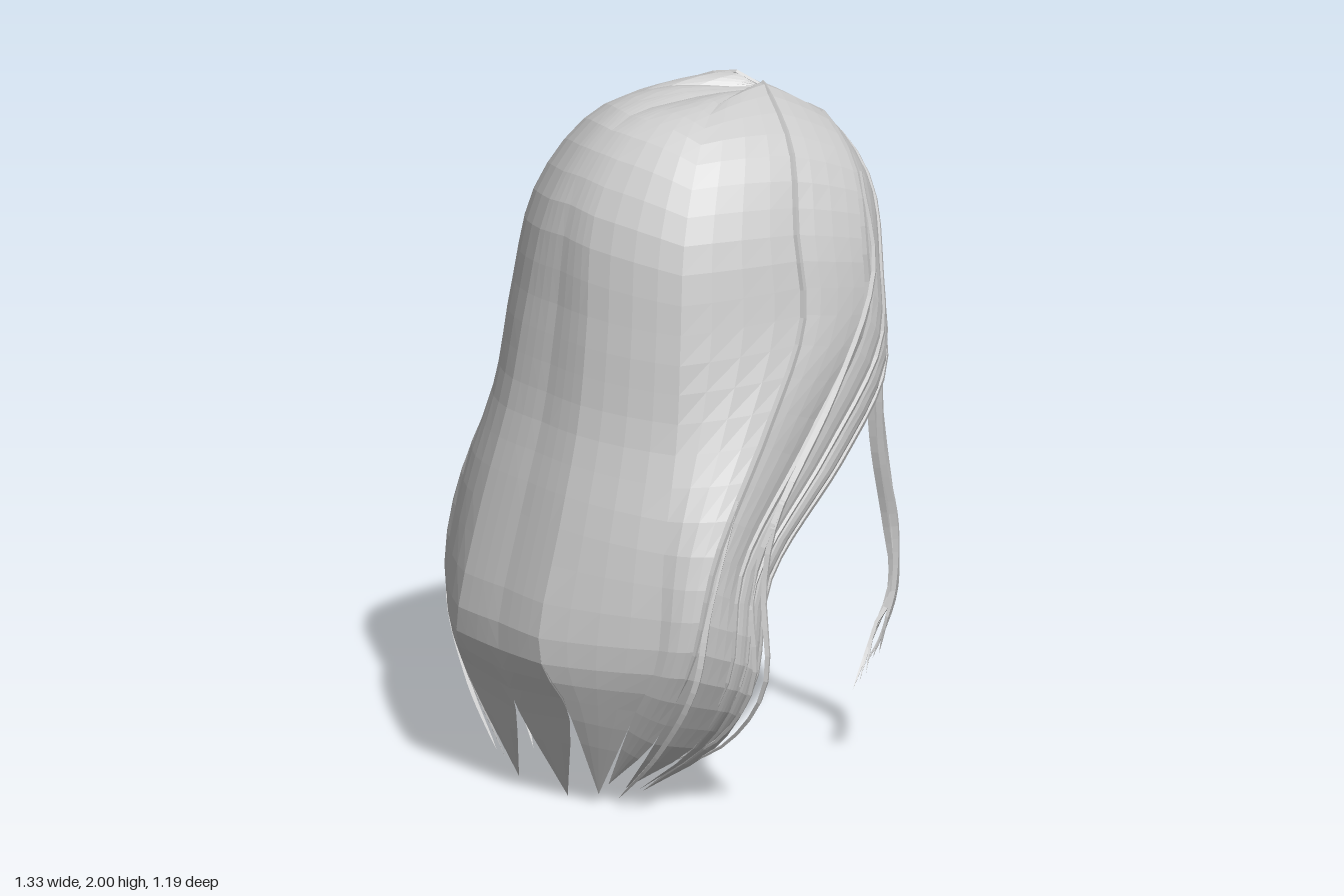
import * as THREE from 'three';

const material = new THREE.MeshStandardMaterial({ color: 0xcccccc, flatShading: true, side: THREE.DoubleSide });
const V = (p, s = 1) => new THREE.Vector3(p[0] * s, p[1], p[2]);
const curve = (pts, s) => new THREE.CatmullRomCurve3(pts.map(p => V(p, s)), false, 'catmullrom', 0.5);

// Seams between the locks, crown to hem, from the centre of the back round to the hairline
const centre = [[0, 1.955, -.33], [0, 1.965, -.08], [0, 1.93, .17], [0, 1.72, .335], [0, 1.4, .385],
  [0, 1.12, .43], [0, .83, .51], [0, .49, .59], [0, .27, .53]];
const back = [[0, 1.955, -.33], [.04, 1.975, -.07], [.08, 1.93, .16], [.11, 1.71, .33], [.15, 1.4, .385],
  [.17, 1.12, .43], [.19, .83, .51], [.2, .49, .59], [.25, .3, .52]];
const backSide = [[0, 1.955, -.33], [.13, 1.97, -.08], [.27, 1.88, .08], [.37, 1.66, .2], [.415, 1.38, .245],
  [.445, 1.1, .28], [.495, .8, .36], [.52, .5, .4], [.4, .28, .41]];
const side = [[0, 1.965, -.33], [.1, 1.99, -.28], [.32, 1.87, -.21], [.43, 1.65, -.15], [.487, 1.4, -.13],
  [.55, 1.12, .04], [.605, .8, .25], [.595, .5, .33], [.45, .24, .35]];
const temple = [[0, 1.89, -.45], [.16, 1.9, -.44], [.335, 1.79, -.42], [.435, 1.6, -.385], [.475, 1.36, -.35],
  [.515, 1.05, -.12], [.59, .75, .15], [.6, .45, .2], [.47, .21, .22]];
const brow = [[0, 1.8, -.5], [.14, 1.83, -.51], [.29, 1.7, -.515], [.395, 1.5, -.47], [.455, 1.27, -.42],
  [.5, 1.0, -.2], [.58, .72, .09], [.595, .43, .15], [.46, .2, .18]];
const hairline = [[0, 1.62, -.515], [.1, 1.64, -.55], [.22, 1.53, -.545], [.33, 1.36, -.515], [.42, 1.18, -.46],
  [.48, .97, -.27], [.56, .7, .03], [.58, .4, .1], [.45, .18, .14]];
const inner = hairline.map(([x, y, z]) => [Math.max(0, x - .05), y - .01, z + .06]);

// Curved sheet between two seams, narrowing to a pointed tip
function lock(name, a, b, tip, bulge, s) {
  const rows = 30, cols = 4, pos = [], index = [];
  const ca = curve([...a, tip], s), cb = curve([...b, tip], s);
  for (let i = 0; i <= rows; i++) {
    const t = i / rows, pa = ca.getPoint(t), pb = cb.getPoint(t);
    for (let j = 0; j <= cols; j++) {
      const w = j / cols, p = pa.clone().lerp(pb, w);
      const out = p.clone().sub(new THREE.Vector3(0, Math.min(p.y, 1.5), -.1)).normalize();
      p.addScaledVector(out, bulge * 16 * w * (1 - w) * t * (1 - t));
      pos.push(p.x, p.y, p.z);
      if (i < rows && j < cols) {
        const k = i * (cols + 1) + j, d = k + cols + 1;
        index.push(...(s > 0 ? [k, d, k + 1, k + 1, d, d + 1] : [k, k + 1, d, k + 1, d + 1, d]));
      }
    }
  }
  const g = new THREE.BufferGeometry();
  g.setAttribute('position', new THREE.Float32BufferAttribute(pos, 3));
  g.setIndex(index);
  g.computeVertexNormals();
  const mesh = new THREE.Mesh(g, material);
  mesh.name = name;
  return mesh;
}

// Thin strand, tapered to both ends
function strand(name, pts, radius, s) {
  const n = 28, sides = 4, path = curve(pts, s);
  const g = new THREE.TubeGeometry(path, n, radius, sides);
  const p = g.attributes.position, v = new THREE.Vector3();
  for (let i = 0; i <= n; i++) {
    const c = path.getPointAt(i / n), k = Math.pow(Math.max(0, Math.sin(Math.PI * (.08 + .92 * i / n))), .6);
    for (let j = 0; j <= sides; j++) {
      const q = i * (sides + 1) + j;
      v.fromBufferAttribute(p, q).sub(c).multiplyScalar(k).add(c);
      p.setXYZ(q, v.x, v.y, v.z);
    }
  }
  g.computeVertexNormals();
  const mesh = new THREE.Mesh(g, material);
  mesh.name = name;
  return mesh;
}

export function createModel() {
  const model = new THREE.Group();
  model.name = 'longHair';
  for (const s of [1, -1]) {
    const half = new THREE.Group();
    half.name = s > 0 ? 'leftHalf' : 'rightHalf';
    // Broad locks
    half.add(
      lock('backLock', centre, back, [.12, .005, .43], .004, s),
      lock('outerBackLock', back, backSide, [.23, .03, .4], .018, s),
      lock('sideLock', backSide, side, [.25, .06, .38], .018, s),
      lock('templeLock', side, temple, [.28, .05, .34], .012, s),
      lock('browLock', temple, brow, [.26, .03, .28], .01, s),
      lock('hairlineLock', brow, hairline, [.25, .02, .26], .012, s),
      lock('hairlineFold', hairline, inner, [.25, .02, .26], 0, s)
    );
    // Raised strands lying along the seams
    for (const [seam, r] of [[side, .012], [temple, .014], [brow, .012], [hairline, .012]]) {
      half.add(strand('seamStrand', seam, r, s));
    }
    // Wisps following the hairline, then hanging beside the face
    for (const d of [0, .02, .04]) {
      half.add(
        strand('innerFaceWisp', [[.13 + d, 1.62 - d, -.53], [.27, 1.42, -.51], [.33 + d / 2, 1.2, -.48 + d / 3],
          [.33 + d / 2, .97, -.5 + d / 2], [.3 + d / 2, .7, -.565 + d / 2], [.28 + d, .5, -.59 + d / 2],
          [.27 + d, .35 + d, -.53 + d / 2], [.3 + d, .21 + d * 1.5, -.44 - d / 2]], .015, s),
        strand('outerFaceWisp', [[.28 + d, 1.42 - d, -.51], [.37 + d / 2, 1.2, -.47], [.37 + d / 2, .95, -.5 + d / 2],
          [.36 + d, .72, -.54 + d / 2], [.39 + d / 2, .54, -.53 + d / 2], [.37 + d, .4 + d, -.5 + d / 2],
          [.35 + d, .3 + d, -.45 - d / 2]], .013, s)
      );
    }
    // Wisps falling outside the shoulders
    for (const d of [0, .025]) {
      half.add(strand('shoulderWisp', [[.37, 1.78, -.42], [.475, 1.5, -.39], [.53, 1.2, -.22], [.59, .9, .02],
        [.61 - d, .68, .09 + d], [.655 - d, .42, .115 + d], [.52 - d, .22, .14 + d], [.3, .08 + d, .2 + d]], .011, s));
    }
    half.add(strand('hemWisp', [[.59, .95, .17], [.61, .65, .28], [.605, .42, .33], [.47, .2, .36], [.3, .03, .38]], .012, s));
    model.add(half);
  }
  return model;
}
